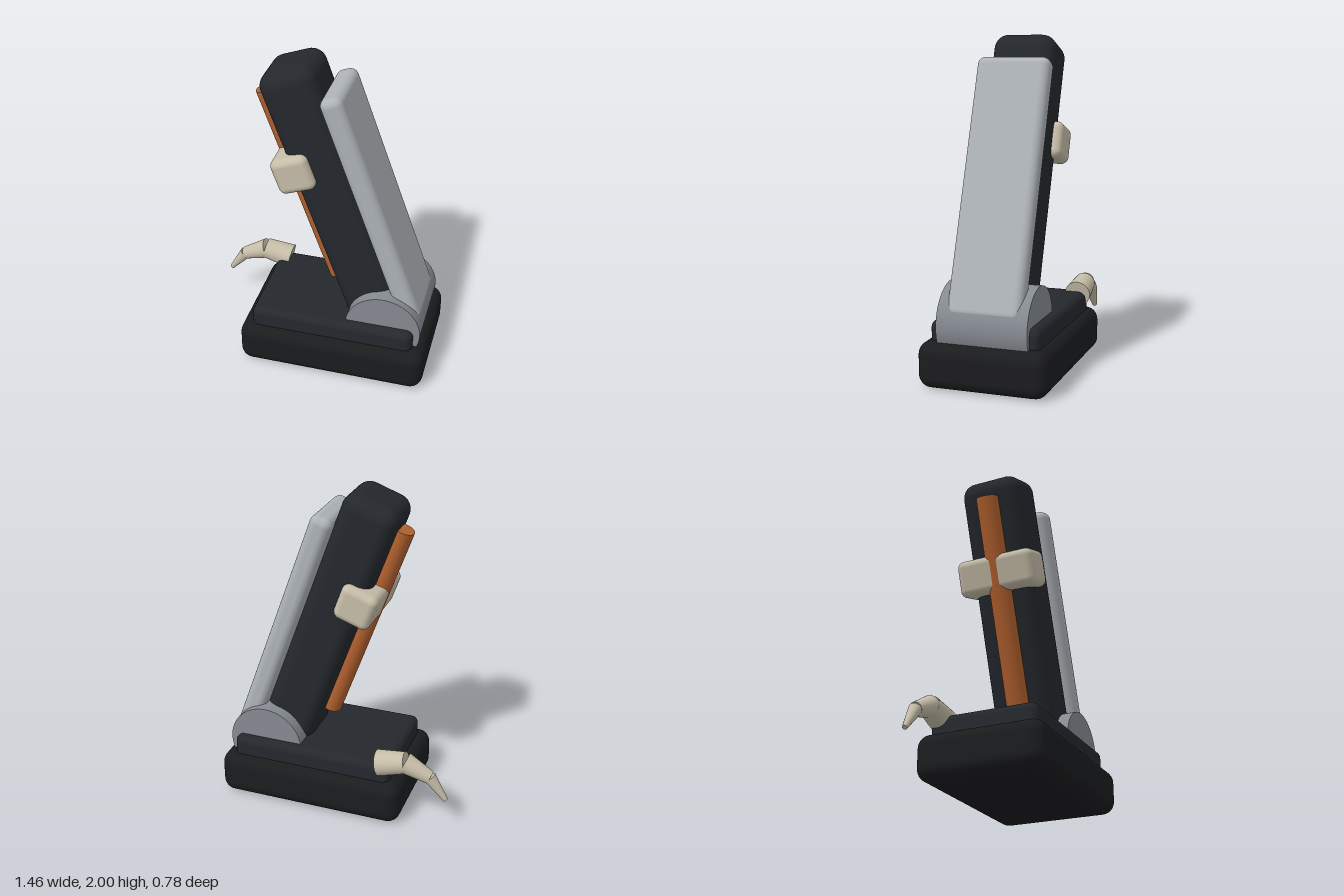
import * as THREE from 'three';
import { RoundedBoxGeometry } from 'three/addons/geometries/RoundedBoxGeometry.js';

const paint = (color) => new THREE.MeshStandardMaterial({ color });
const black = paint(0x1b1c1e);
const charcoal = paint(0x24282d);
const silver = paint(0xaeb3b8);
const steel = paint(0x868b92);
const copper = paint(0xb5622f);
const cream = paint(0xc6bda8);

const LEAN = THREE.MathUtils.degToRad(20);

function add(parent, name, geometry, material, x = 0, y = 0, z = 0) {
  const mesh = new THREE.Mesh(geometry, material);
  mesh.name = name;
  mesh.position.set(x, y, z);
  parent.add(mesh);
  return mesh;
}

// Rounded box given by its x and y ranges, centred on z = 0
function block(parent, name, material, [x0, x1], [y0, y1], depth, radius) {
  const geometry = new RoundedBoxGeometry(x1 - x0, y1 - y0, depth, 5, radius);
  return add(parent, name, geometry, material, (x0 + x1) / 2, (y0 + y1) / 2);
}

// Tapered round segment between two points
function taper(parent, name, material, a, b, ra, rb) {
  const axis = b.clone().sub(a);
  const mesh = add(parent, name, new THREE.CylinderGeometry(rb, ra, axis.length(), 32), material);
  mesh.position.copy(a).add(b).multiplyScalar(0.5);
  mesh.quaternion.setFromUnitVectors(new THREE.Vector3(0, 1, 0), axis.normalize());
  return mesh;
}

export function createModel() {
  const model = new THREE.Group();
  model.name = 'leaningArmOnBase';

  // Stepped base
  block(model, 'base', black, [-0.445, 0.73], [0, 0.275], 0.78, 0.08);
  block(model, 'topPlate', charcoal, [-0.37, 0.65], [0.15, 0.39], 0.66, 0.045);

  // Hinge drum across the back of the arm
  const hinge = add(model, 'hinge', new THREE.CylinderGeometry(0.235, 0.235, 0.545, 64), steel, 0.455, 0.357);
  hinge.rotation.x = Math.PI / 2;

  // Everything on the leaning arm shares one tilted frame
  const arm = new THREE.Group();
  arm.name = 'arm';
  arm.rotation.z = LEAN;
  model.add(arm);
  block(arm, 'armBody', charcoal, [0.318, 0.66], [0.1, 1.918], 0.39, 0.09);
  block(arm, 'backPanel', silver, [0.652, 0.787], [0.17, 1.722], 0.45, 0.05);
  block(arm, 'clamp', cream, [0.236, 0.468], [1.198, 1.425], 0.5, 0.045);
  add(arm, 'rod', new THREE.CylinderGeometry(0.068, 0.068, 1.315, 32), copper, 0.3, 1.132);

  // Curved claw: three tapering segments
  const claw = new THREE.Group();
  claw.name = 'claw';
  claw.position.z = -0.28;
  model.add(claw);
  const p = (x, y) => new THREE.Vector3(x, y, 0);
  taper(claw, 'clawRoot', cream, p(-0.29, 0.376), p(-0.465, 0.413), 0.081, 0.066);
  taper(claw, 'clawMiddle', cream, p(-0.457, 0.412), p(-0.617, 0.342), 0.066, 0.041);
  taper(claw, 'clawTip', cream, p(-0.614, 0.345), p(-0.718, 0.205), 0.04, 0.015);

  return model;
}
